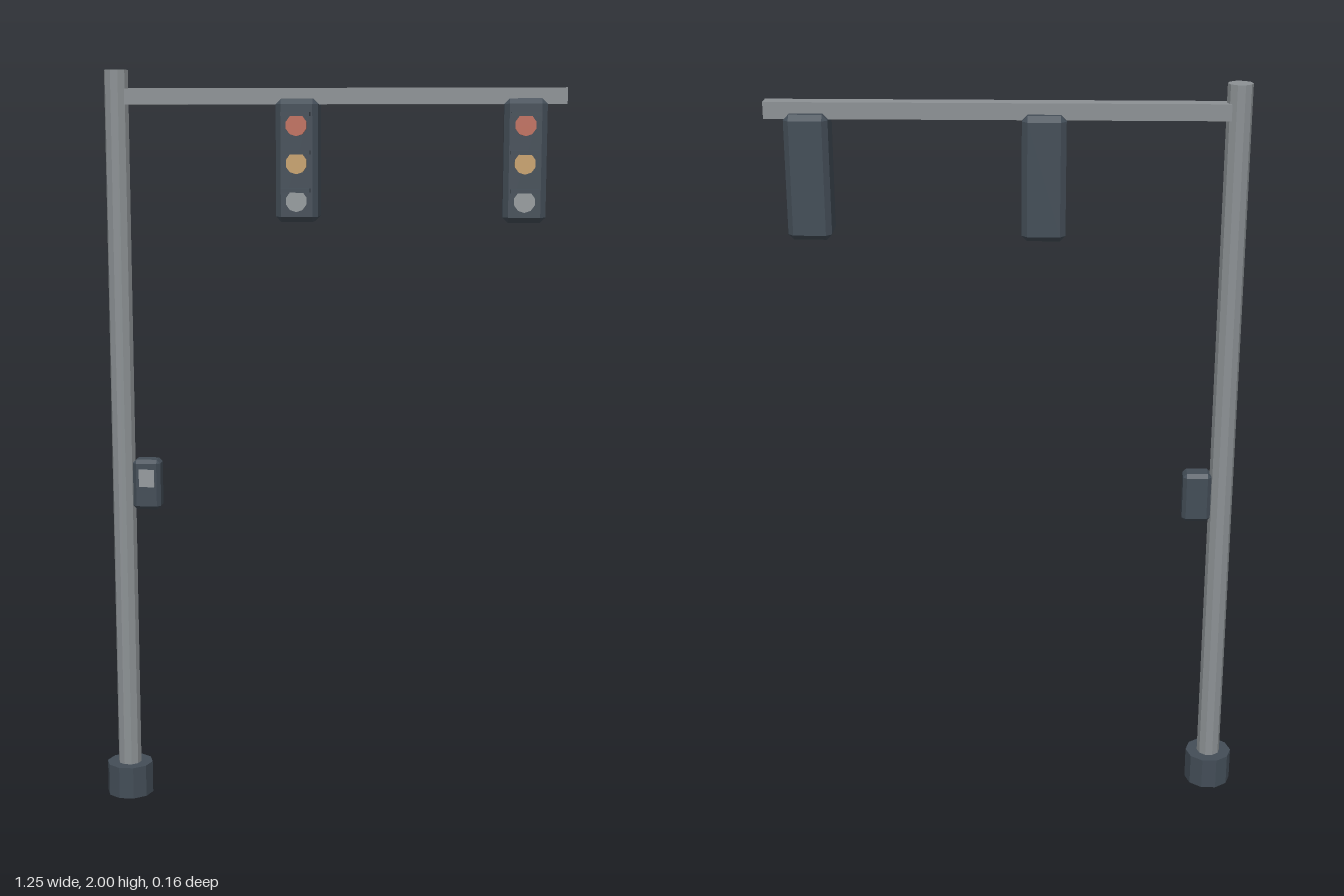
import * as THREE from 'three';
import { ConvexGeometry } from 'three/addons/geometries/ConvexGeometry.js';

const flat = (name, color) => {
  const m = new THREE.MeshStandardMaterial({ color });
  m.name = name;
  return m;
};

// Box with every edge cut by a flat chamfer
function chamferBox(w, h, d, c) {
  const points = [];
  for (const sx of [-1, 1]) for (const sy of [-1, 1]) for (const sz of [-1, 1]) {
    const x = w / 2, y = h / 2, z = d / 2;
    points.push(
      new THREE.Vector3(sx * x, sy * (y - c), sz * (z - c)),
      new THREE.Vector3(sx * (x - c), sy * y, sz * (z - c)),
      new THREE.Vector3(sx * (x - c), sy * (y - c), sz * z),
    );
  }
  return new ConvexGeometry(points);
}

// Ten-sided faceted column with a corner on the x axis
function column(radius, height) {
  return new THREE.CylinderGeometry(radius, radius, height, 10).toNonIndexed().rotateY(Math.PI / 2);
}

function part(parent, name, geometry, material, x, y, z) {
  if (geometry.type === 'CylinderGeometry' || !geometry.index) geometry.computeVertexNormals();
  const mesh = new THREE.Mesh(geometry, material);
  mesh.name = name;
  mesh.position.set(x, y, z);
  parent.add(mesh);
  return mesh;
}

export function createModel() {
  const steel = flat('steelGrey', 0x8c9194);
  const dark = flat('darkSlate', 0x434d57);
  const red = flat('redLens', 0xc0705f);
  const amber = flat('amberLens', 0xc8a26e);
  const clear = flat('paleGrey', 0x969b9e);

  const model = new THREE.Group();
  model.name = 'trafficLight';
  const poleX = -0.562, midZ = -0.02;

  // Pole, footing and horizontal arm
  part(model, 'pole', column(0.032, 2), steel, poleX, 1, midZ);
  part(model, 'base', column(0.064, 0.089), dark, poleX, 0.0455, midZ);
  part(model, 'arm', new THREE.BoxGeometry(1.182, 0.042, 0.043), steel, 0.029, 1.931, -0.0215);

  // Signal heads: housing, three lenses, three visors
  for (const [name, x] of [['innerSignal', -0.079], ['outerSignal', 0.513]]) {
    const head = new THREE.Group();
    head.name = name;
    head.position.set(x, 1.765, 0);
    model.add(head);
    part(head, 'housing', chamferBox(0.111, 0.318, 0.109, 0.014), dark, 0, 0, -0.018);
    [red, amber, clear].forEach((material, i) => {
      const y = 0.091 - i * 0.0975;
      const lens = new THREE.CylinderGeometry(0.028, 0.028, 0.014, 10).toNonIndexed().rotateX(Math.PI / 2);
      part(head, 'lens', lens, material, 0, y, 0.041);
      part(head, 'visor', new THREE.BoxGeometry(0.075, 0.01, 0.037), dark, 0, y + 0.028, 0.0595);
    });
  }

  // Crossing button box on the pole, with its pale panel
  const box = new THREE.Group();
  box.name = 'buttonBox';
  box.position.set(-0.496, 0.891, midZ);
  model.add(box);
  part(box, 'buttonHousing', chamferBox(0.076, 0.138, 0.058, 0.01), dark, 0, 0, 0);
  part(box, 'buttonPanel', new THREE.BoxGeometry(0.042, 0.048, 0.006), clear, 0.001, 0.019, 0.029);

  return model;
}
